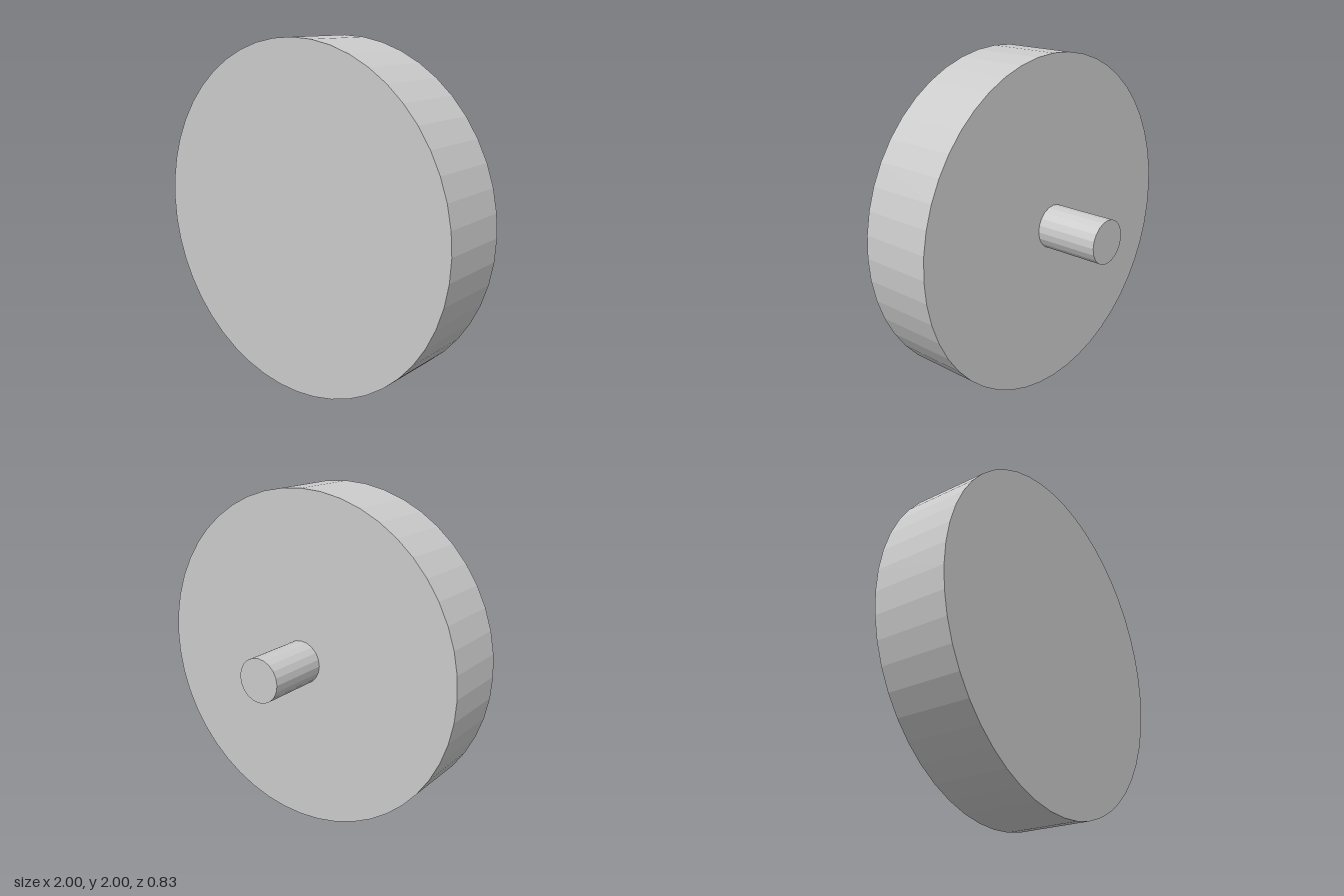
import * as THREE from 'three';

export function createModel() {
  const group = new THREE.Group();
  group.name = 'wheelWithAxle';
  const material = new THREE.MeshStandardMaterial({ color: 0xcccccc, flatShading: true });

  // Faceted cylinder lying along z, centred at height 1
  function addCylinder(name, radius, zBack, zFront, sides) {
    const geometry = new THREE.CylinderGeometry(radius, radius, zFront - zBack, sides);
    geometry.rotateX(Math.PI / 2);
    const mesh = new THREE.Mesh(geometry, material);
    mesh.name = name;
    mesh.position.set(0, 1, (zBack + zFront) / 2);
    group.add(mesh);
  }

  // Broad wheel disc at the front
  addCylinder('wheel', 1, -0.025, 0.415, 48);
  // Short axle stub out of the back
  addCylinder('axle', 0.13, -0.415, -0.025, 20);

  return group;
}
